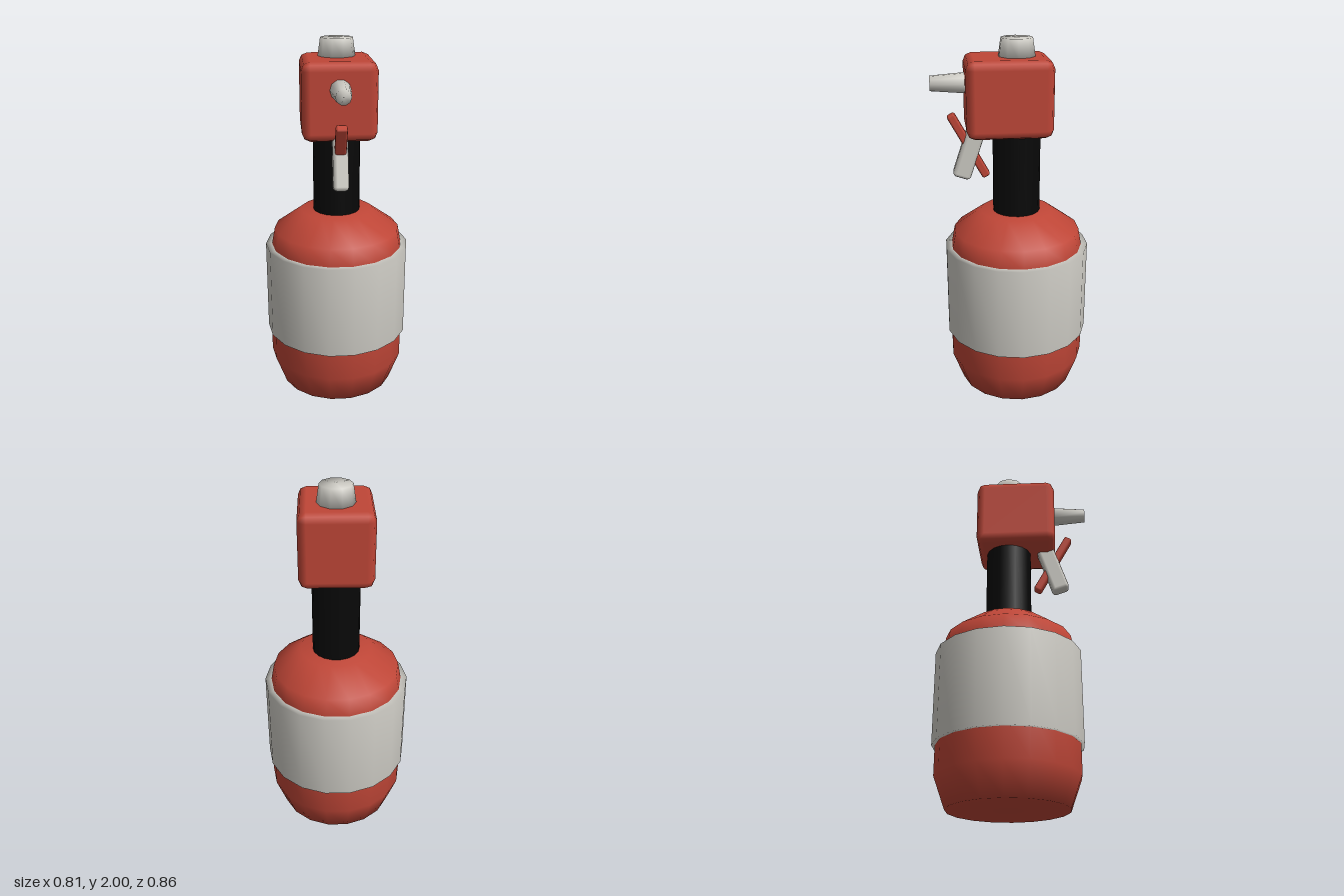
import * as THREE from 'three';
import { RoundedBoxGeometry } from 'three/addons/geometries/RoundedBoxGeometry.js';

const AXIS_Z = -0.03;

function material(name, color) {
  const m = new THREE.MeshStandardMaterial({ color });
  m.name = name;
  return m;
}

// Lathed solid, turned half a step so that corners fall on the x axis
function turned(name, profile, sides, mat) {
  const points = profile.map(([r, y]) => new THREE.Vector2(r, y));
  const mesh = new THREE.Mesh(new THREE.LatheGeometry(points, sides, Math.PI / sides), mat);
  mesh.name = name;
  return mesh;
}

function roundedBox(name, [w, h, d], radius, mat, [y, z], tilt = 0) {
  const mesh = new THREE.Mesh(new RoundedBoxGeometry(w, h, d, 1, radius), mat);
  mesh.name = name;
  mesh.position.set(0, y, z);
  mesh.rotation.x = tilt;
  return mesh;
}

export function createModel() {
  const model = new THREE.Group();
  model.name = 'sprayCanister';
  const red = material('red', 0xbf4637);
  const grey = material('lightGrey', 0xcdcbc4);
  const black = material('black', 0x080808);

  // Parts standing on the vertical axis
  const tank = turned('tank', [
    [0, 0], [0.325, 0], [0.387, 0.17], [0.387, 0.4], [0.372, 0.84],
    [0.352, 0.945], [0.2, 1.055], [0, 1.055],
  ], 18, red);
  const band = turned('band', [
    [0.36, 0.33], [0.405, 0.33], [0.405, 0.85], [0.36, 0.85],
  ], 18, grey);
  const neck = turned('neck', [[0.13, 1.04], [0.13, 1.52]], 18, black);
  const cap = turned('cap', [[0, 1.89], [0.102, 1.89], [0.086, 2], [0, 2]], 10, grey);
  for (const part of [tank, band, neck, cap]) part.position.z = AXIS_Z;

  // Pump head
  const head = roundedBox('head', [0.39, 0.405, 0.455], 0.045, red, [1.7025, 0.018]);

  // Nozzle pointing forwards
  const nozzle = turned('nozzle', [[0, 0], [0.056, 0], [0.04, 0.197], [0, 0.197]], 10, grey);
  nozzle.rotation.x = Math.PI / 2;
  nozzle.position.set(0, 1.77, 0.23);

  // Hanging lever and the trigger bar crossing it
  const lever = roundedBox('lever', [0.08, 0.32, 0.1], 0.02, grey, [1.405, 0.225], -0.32);
  const trigger = roundedBox('trigger', [0.06, 0.395, 0.046], 0.012, red, [1.43, 0.23], 0.506);

  model.add(tank, band, neck, head, cap, nozzle, lever, trigger);
  return model;
}
